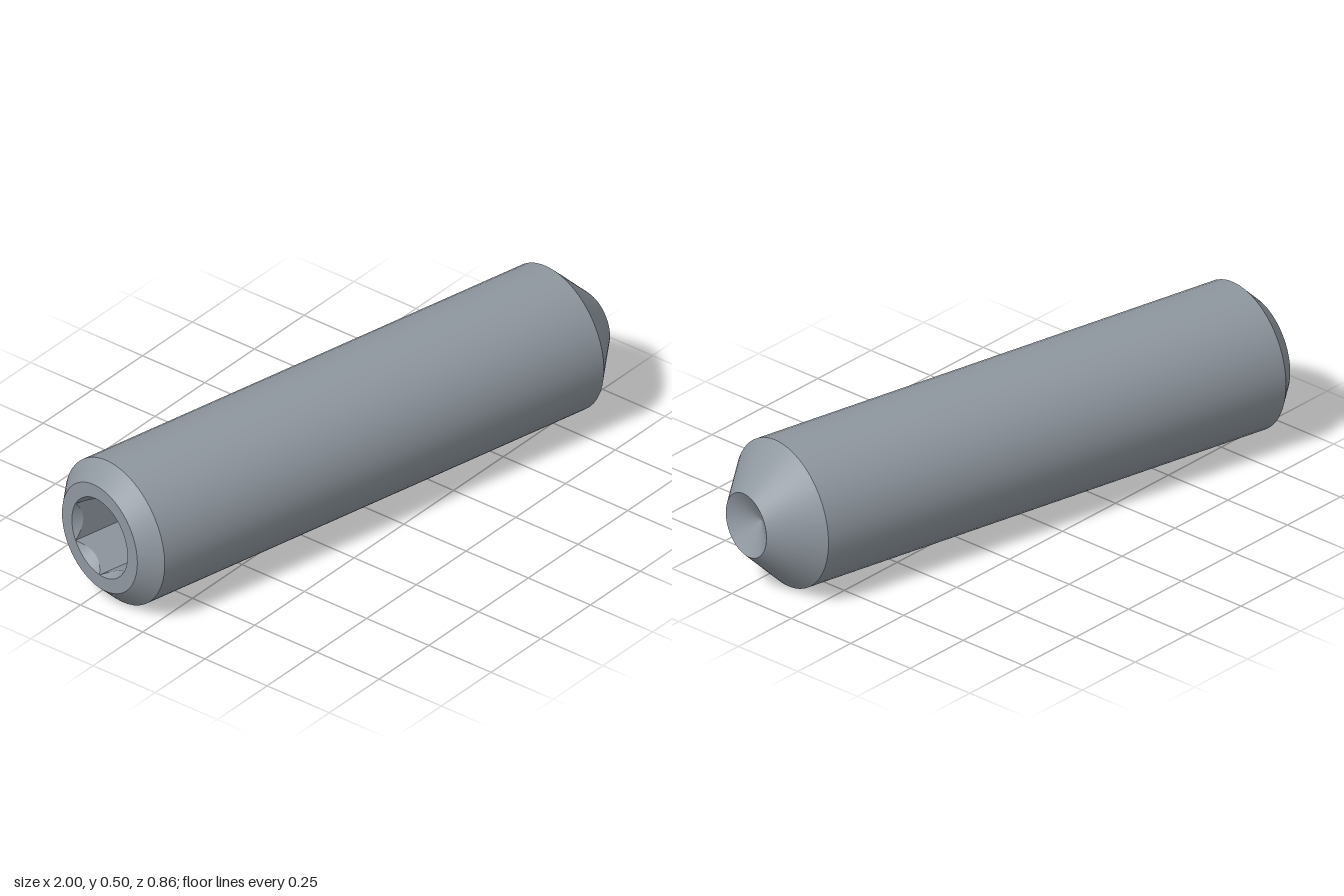
import * as THREE from 'three';
import { toCreasedNormals } from 'three/addons/utils/BufferGeometryUtils.js';

const SEGMENTS = 48;
const RIM = 0.138;              // mouth of the hex socket
const APOTHEM = RIM * Math.cos(Math.PI / 6);
const HEAD = -0.981;            // axial position of the socket end
const SOCKET_DEPTH = 0.27;

const steel = new THREE.MeshStandardMaterial({ color: 0x8f979f });
steel.name = 'steel grey';

function lathe(points) {
  return new THREE.LatheGeometry(points.map(([r, y]) => new THREE.Vector2(r, y)), SEGMENTS);
}

function part(name, geometry) {
  const mesh = new THREE.Mesh(toCreasedNormals(geometry, 0.4), steel);
  mesh.name = name;
  return mesh;
}

// Hexagonal recess: the lathe rows are pushed out to a hexagon, and the
// conical lead-in cuts deepest in the middle of each flat.
function socketGeometry() {
  const floor = HEAD + SOCKET_DEPTH;
  const geometry = lathe([[0, floor], [APOTHEM, floor], [APOTHEM, HEAD], [RIM, HEAD]]);
  const pos = geometry.attributes.position;
  const step = Math.PI / 3;
  for (let i = 0; i <= SEGMENTS; i++) {
    const phi = (i / SEGMENTS) * Math.PI * 2;
    const r = APOTHEM / Math.cos(phi - Math.round(phi / step) * step);
    for (const row of [1, 2]) {
      const y = row === 1 ? floor : HEAD + (RIM - r) * 1.7;
      pos.setXYZ(i * 4 + row, Math.sin(phi) * r, y, Math.cos(phi) * r);
    }
  }
  return geometry;
}

export function createModel() {
  const model = new THREE.Group();
  model.name = 'setScrew';

  // Parts are built along y, then the screw is laid down along x
  const screw = new THREE.Group();
  screw.name = 'screw';
  screw.rotation.z = -Math.PI / 2;
  screw.add(
    part('headFace', lathe([[RIM, HEAD], [0.187, HEAD]])),
    part('headChamfer', lathe([[0.187, HEAD], [0.248, -0.92]])),
    part('shank', lathe([[0.248, -0.92], [0.248, 0.861]])),
    part('pointCone', lathe([[0.248, 0.861], [0.108, 1.0]])),
    part('pointCup', lathe([[0.108, 1.0], [0, 0.938]])),
    part('hexSocket', socketGeometry()),
  );

  // Lying slightly askew
  const lying = new THREE.Group();
  lying.name = 'lyingScrew';
  lying.rotation.y = -THREE.MathUtils.degToRad(12.1);
  lying.position.y = 0.248;
  lying.add(screw);
  model.add(lying);
  return model;
}
